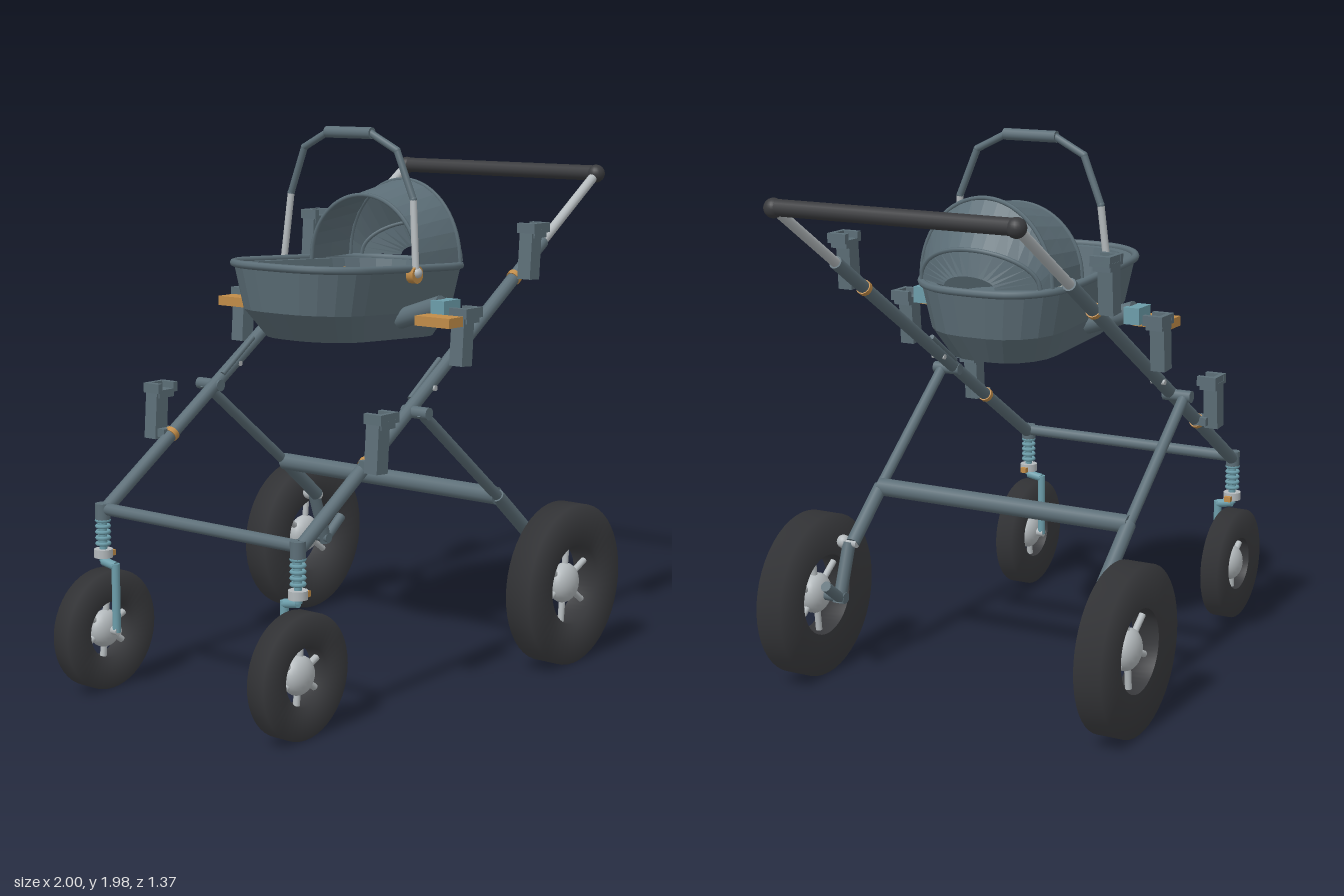
import * as THREE from 'three';

const mat = (name, color, side = THREE.FrontSide) => {
  const m = new THREE.MeshStandardMaterial({ color, side });
  m.name = name;
  return m;
};
const slate = mat('slate', 0x5c6e77, THREE.DoubleSide);
const tyreBlack = mat('tyre black', 0x3a3b3e);
const silver = mat('silver', 0xb4babd);
const teal = mat('teal', 0x6c9daa);
const orange = mat('orange', 0xc18c48);
const cream = mat('cream', 0xc4c2b4);
const V = (x, y, z) => new THREE.Vector3(x, y, z);

function add(parent, name, geo, material, x = 0, y = 0, z = 0) {
  const m = new THREE.Mesh(geo, material);
  m.name = name;
  m.position.set(x, y, z);
  parent.add(m);
  return m;
}
const box = (p, name, w, h, d, material, x, y, z) => add(p, name, new THREE.BoxGeometry(w, h, d), material, x, y, z);
const ball = (p, name, r, material, x, y, z) => add(p, name, new THREE.SphereGeometry(r, 20, 14), material, x, y, z);

// Cylinder between two points
function rod(p, name, a, b, r, material) {
  const m = add(p, name, new THREE.CylinderGeometry(r, r, a.distanceTo(b), 14), material);
  m.position.copy(a).lerp(b, 0.5);
  m.quaternion.setFromUnitVectors(V(0, 1, 0), b.clone().sub(a).normalize());
  return m;
}

// Faceted skin over rings of points; closed rings get end caps
function loft(rings, closed) {
  const pos = [], n = rings[0].length;
  const tri = (...pts) => pts.forEach((q) => pos.push(q.x, q.y, q.z));
  const mid = (ring) => ring.reduce((s, q) => s.add(q), V(0, 0, 0)).divideScalar(n);
  for (let j = 0; j < (closed ? n : n - 1); j++) {
    const k = (j + 1) % n;
    for (let i = 0; i < rings.length - 1; i++) {
      const [a, b, c, d] = [rings[i][j], rings[i][k], rings[i + 1][k], rings[i + 1][j]];
      tri(a, b, c);
      tri(a, c, d);
    }
    if (closed) {
      const last = rings[rings.length - 1];
      tri(mid(rings[0]), rings[0][k], rings[0][j]);
      tri(mid(last), last[j], last[k]);
    }
  }
  const g = new THREE.BufferGeometry();
  g.setAttribute('position', new THREE.Float32BufferAttribute(pos, 3));
  g.computeVertexNormals();
  return g;
}

// Rounded rectangle, dropping slightly towards the hood end
function outline(y, x0, x1, hz, r) {
  const pts = [];
  for (let c = 0; c < 4; c++) for (let i = 0; i <= 5; i++) {
    const t = (c + i / 5) * Math.PI / 2;
    const cx = c === 0 || c === 3 ? x1 - r : x0 + r, cz = c < 2 ? r - hz : hz - r;
    const x = cx + r * Math.cos(t);
    pts.push(V(x, y - 0.05 * x, cz - r * Math.sin(t)));
  }
  return pts;
}

// Hood hoop across the basket; sweep pulls its feet forward
function arch(x, hz, top, sweep = 0) {
  const base = 1.48;
  return Array.from({ length: 17 }, (_, i) => {
    const a = Math.PI * i / 16, c = Math.cos(a);
    return V(x - sweep * c * c, base + (top - base) * Math.sin(a), hz * c);
  });
}

function wheel(name, R, inner, w, hubR, spokes) {
  const g = new THREE.Group();
  g.name = name;
  const h = w / 2;
  const profile = [[inner, -h], [R, -h], [R, h], [inner, h], [inner, -h]].map((q) => new THREE.Vector2(...q));
  add(g, 'tyre', new THREE.LatheGeometry(profile, 48), tyreBlack).rotation.x = Math.PI / 2;
  ball(g, 'hub', hubR, silver, 0, 0, 0).scale.z = 0.65;
  for (let i = 0; i < spokes; i++) {
    const a = (i + 0.4) / spokes * Math.PI * 2;
    rod(g, 'spoke', V(0, 0, 0), V(Math.cos(a) * (inner + 0.01), Math.sin(a) * (inner + 0.01), 0), 0.012, silver);
  }
  return g;
}

// Upright accessory socket with a notched cap
function socket(p, x, y, s) {
  const g = new THREE.Group();
  g.name = 'frameSocket';
  g.position.set(x, y, s * 0.515);
  box(g, 'socketBody', 0.06, 0.17, 0.055, slate, -0.012, 0.085, 0).rotation.z = -0.07;
  box(g, 'socketNeck', 0.075, 0.02, 0.065, slate, 0.01, 0.16, 0);
  box(g, 'capBack', 0.1, 0.035, 0.018, slate, 0.012, 0.186, s * 0.028);
  for (const e of [-1, 1]) box(g, 'capSide', 0.022, 0.035, 0.075, slate, 0.012 + e * 0.039, 0.186, 0);
  box(g, 'capFloor', 0.1, 0.012, 0.075, slate, 0.012, 0.174, 0);
  p.add(g);
}

const onRail = (x, z) => V(x, 0.64 + (x + 0.78) * 0.656, z);

function buildSide(p, s) {
  const z = s * 0.455;
  // Main rail with telescoping handle arm
  rod(p, 'rail', onRail(-0.78, z), onRail(0.61, z), 0.024, slate);
  rod(p, 'handleArm', onRail(0.6, z), onRail(0.965, z), 0.018, silver);
  ball(p, 'handleJoint', 0.034, tyreBlack, 0.965, 1.785, z);
  for (const x of [-0.43, 0.43]) rod(p, 'railBand', onRail(x - 0.008, z), onRail(x + 0.008, z), 0.028, orange);
  for (const [x, y] of [[-0.435, 0.85], [0.04, 1.16], [0.45, 1.43]]) socket(p, x, y, s);
  box(p, 'socketLink', 0.07, 0.03, 0.05, slate, -0.435, 0.875, s * 0.48);

  // Folding pivot
  rod(p, 'pivotPin', V(-0.19, 1.02, s * 0.43), V(-0.19, 1.02, s * 0.54), 0.022, slate);
  rod(p, 'latchPin', V(-0.08, 1.09, s * 0.43), V(-0.08, 1.09, s * 0.485), 0.01, silver);
  rod(p, 'latchRod', V(-0.17, 1.06, s * 0.44), V(0, 1.18, s * 0.44), 0.01, slate);

  // Rear leg, suspension arm and wheel
  const zl = s * 0.51;
  rod(p, 'rearLeg', V(-0.2, 1.025, zl), V(0.28, 0.64, zl), 0.02, slate);
  rod(p, 'rearLegSleeve', V(0.26, 0.656, zl), V(0.455, 0.49, zl), 0.026, slate);
  rod(p, 'suspensionPin', V(0.455, 0.49, s * 0.49), V(0.455, 0.49, s * 0.56), 0.016, silver);
  ball(p, 'suspensionKnob', 0.025, silver, 0.455, 0.49, s * 0.55);
  rod(p, 'suspensionArm', V(0.455, 0.49, s * 0.525), V(0.53, 0.28, s * 0.525), 0.024, slate);
  rod(p, 'suspensionDamper', V(0.53, 0.3, s * 0.52), V(0.62, 0.37, s * 0.52), 0.02, slate);
  rod(p, 'rearAxle', V(0.52, 0.3, s * 0.5), V(0.52, 0.3, s * 0.63), 0.02, slate);
  const rear = wheel('rearWheel', 0.3, 0.148, 0.1, 0.075, 6);
  rear.position.set(0.52, 0.3, s * 0.633);
  p.add(rear);

  // Sprung front fork and wheel
  const x = -0.785;
  rod(p, 'forkHead', V(x, 0.61, z), V(x, 0.67, z), 0.027, slate);
  rod(p, 'forkStem', V(x, 0.46, z), V(x, 0.63, z), 0.014, teal);
  for (let i = 0; i < 5; i++) {
    add(p, 'springCoil', new THREE.TorusGeometry(0.022, 0.007, 6, 16), teal, x, 0.525 + i * 0.021, z).rotation.x = Math.PI / 2;
  }
  rod(p, 'forkCollar', V(x, 0.475, z), V(x, 0.505, z), 0.034, silver);
  box(p, 'swivelLock', 0.02, 0.02, 0.025, orange, x + 0.04, 0.485, z);
  rod(p, 'forkShoulder', V(x, 0.46, z), V(x, 0.45, s * 0.395), 0.016, teal);
  rod(p, 'forkBlade', V(x, 0.46, s * 0.395), V(x, 0.21, s * 0.395), 0.015, teal);
  rod(p, 'frontAxle', V(x, 0.215, s * 0.385), V(x, 0.215, z), 0.016, silver);
  const front = wheel('frontWheel', 0.215, 0.102, 0.07, 0.068, 6);
  front.position.set(x, 0.215, z);
  p.add(front);

  // Basket mount
  rod(p, 'basketArm', V(0.04, 1.3, s * 0.23), V(0.04, 1.365, s * 0.42), 0.036, slate);
  box(p, 'mountBlock', 0.095, 0.06, 0.06, teal, 0.045, 1.355, s * 0.43);
  box(p, 'releaseLever', 0.08, 0.035, 0.15, orange, -0.04, 1.32, s * 0.465);
  box(p, 'leverLink', 0.05, 0.025, 0.04, orange, 0.0, 1.32, s * 0.43);

  // Carry handle and hinge
  rod(p, 'hingeDisc', V(0.035, 1.465, s * 0.285), V(0.035, 1.465, s * 0.315), 0.032, orange);
  ball(p, 'hingeCap', 0.02, silver, 0.035, 1.472, s * 0.31);
  const path = [V(0.03, 1.47, s * 0.31), V(0.045, 1.73, s * 0.285), V(0.04, 1.9, s * 0.215), V(0.036, 1.958, s * 0.1)];
  for (let i = 0; i < 3; i++) {
    rod(p, 'carryHandle', path[i], path[i + 1], 0.013, i === 0 ? silver : slate);
    ball(p, 'carryHandleBend', 0.0135, slate, ...path[i + 1].toArray());
  }

  // Harness strap
  rod(p, 'harnessStrap', V(-0.02, 1.42, s * 0.02), V(0.12, 1.45, s * 0.09), 0.012, orange);
}

export function createModel() {
  const root = new THREE.Group();
  root.name = 'pram';
  for (const s of [-1, 1]) buildSide(root, s);

  // Cross members and push handle
  rod(root, 'frontCrossbar', V(-0.78, 0.65, -0.455), V(-0.78, 0.65, 0.455), 0.022, slate);
  rod(root, 'rearCrossbar', V(0.26, 0.655, -0.51), V(0.26, 0.655, 0.51), 0.033, slate);
  rod(root, 'pushHandle', V(0.965, 1.787, -0.455), V(0.965, 1.787, 0.455), 0.029, tyreBlack);
  rod(root, 'carryGrip', V(0.036, 1.958, -0.105), V(0.036, 1.958, 0.105), 0.021, slate);

  // Basket shell, rolled rim and bedding
  add(root, 'basket', loft([
    outline(1.225, -0.3, 0.39, 0.2, 0.17),
    outline(1.325, -0.385, 0.455, 0.25, 0.2),
    outline(1.485, -0.41, 0.48, 0.285, 0.22),
    outline(1.485, -0.37, 0.44, 0.25, 0.2),
    outline(1.33, -0.345, 0.41, 0.22, 0.18),
  ], true), slate);
  const rimPath = new THREE.CatmullRomCurve3(outline(1.487, -0.408, 0.478, 0.288, 0.225), true, 'centripetal');
  add(root, 'basketRim', new THREE.TubeGeometry(rimPath, 72, 0.014, 8, true), slate);
  add(root, 'mattress', loft([outline(1.325, -0.34, 0.4, 0.215, 0.13), outline(1.36, -0.34, 0.4, 0.215, 0.13)], true), cream);
  add(root, 'blanket', loft([outline(1.355, 0.05, 0.4, 0.22, 0.14), outline(1.41, 0.05, 0.4, 0.22, 0.14)], true), slate);
  box(root, 'harnessBuckle', 0.06, 0.04, 0.07, orange, -0.03, 1.42, 0);

  // Hood with edge piping
  const front = arch(0.12, 0.25, 1.73), peak = arch(0.36, 0.26, 1.775);
  const back = arch(0.47, 0.235, 1.61, 0.07), tail = arch(0.485, 0.1, 1.52, 0.01);
  add(root, 'hood', loft([front, arch(0.24, 0.256, 1.753), peak, back, tail], false), slate);
  for (const a of [front, peak, back]) {
    add(root, 'hoodPiping', new THREE.TubeGeometry(new THREE.CatmullRomCurve3(a), 32, 0.008, 6), slate);
  }
  return root;
}
